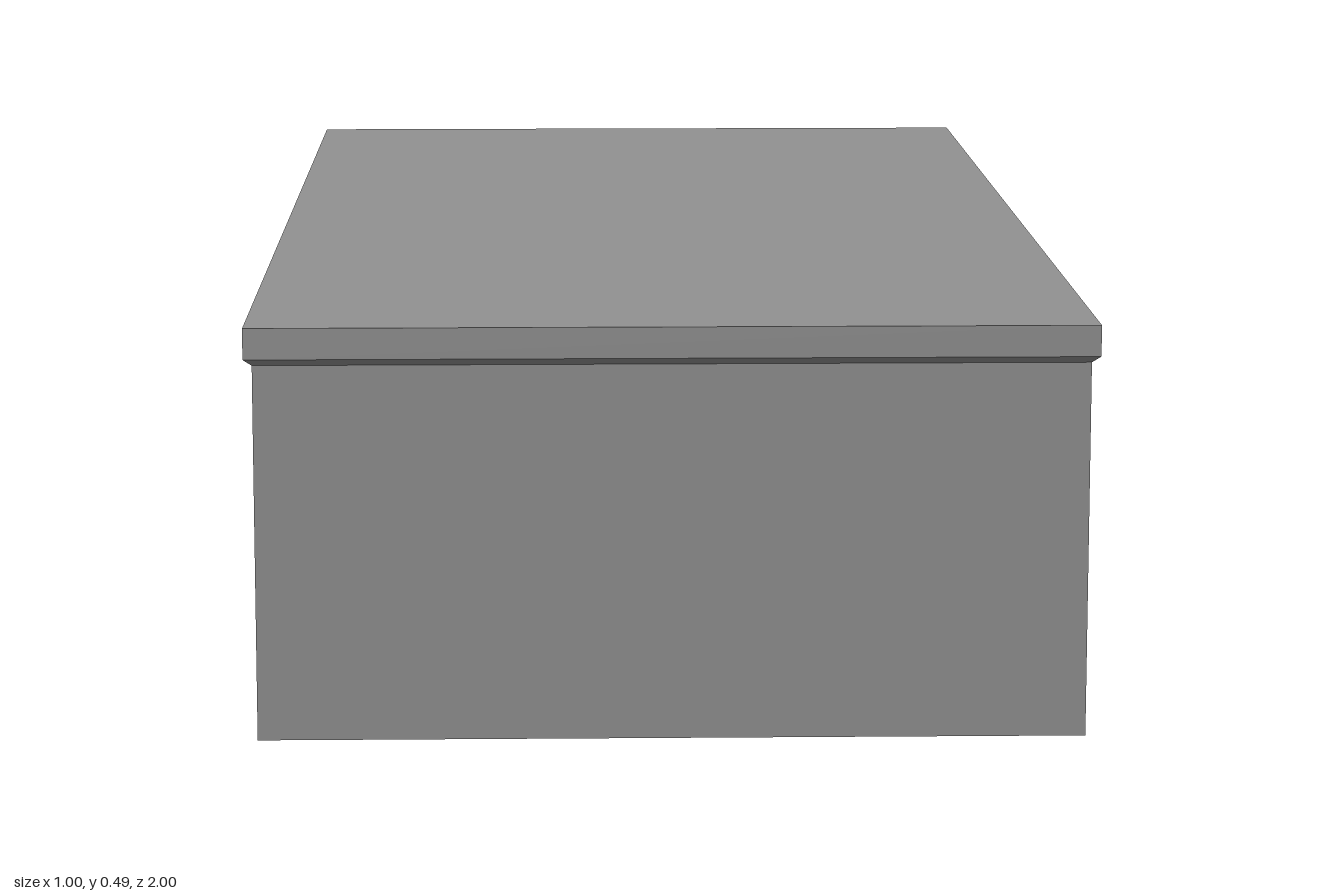
import * as THREE from 'three';

export function createModel() {
  const desk = new THREE.Group();
  desk.name = 'desk';
  const grey = new THREE.MeshStandardMaterial({ color: 0x929292 });
  const dark = new THREE.MeshStandardMaterial({ color: 0x303031 });

  // Box given by its limits on each axis
  function addBox(name, material, [x0, x1], [y0, y1], [z0, z1]) {
    const mesh = new THREE.Mesh(new THREE.BoxGeometry(x1 - x0, y1 - y0, z1 - z0), material);
    mesh.position.set((x0 + x1) / 2, (y0 + y1) / 2, (z0 + z1) / 2);
    mesh.name = name;
    desk.add(mesh);
    return mesh;
  }

  // Top board, with a chamfered strip under its edge
  addBox('topBoard', grey, [-0.5, 0.5], [0.457, 0.494], [-1, 1]);
  const chamfer = addBox('topChamfer', grey, [-0.5, 0.5], [0.449, 0.457], [-1, 1]);
  const p = chamfer.geometry.attributes.position;
  for (let i = 0; i < p.count; i++) {
    if (p.getY(i) < 0) {
      p.setX(i, Math.sign(p.getX(i)) * 0.49);
      p.setZ(i, Math.sign(p.getZ(i)) * 0.992);
    }
  }
  chamfer.geometry.computeVertexNormals();

  // End panels
  addBox('frontEndPanel', grey, [-0.49, 0.49], [0, 0.449], [0.967, 0.992]);
  addBox('backEndPanel', grey, [-0.49, 0.49], [0, 0.449], [-0.992, -0.967]);

  // Closed cabinet between the end panels: dark walls, grey underside
  const cabinetSides = [dark, dark, dark, grey, dark, dark];
  addBox('cabinetBody', cabinetSides, [-0.425, 0.26], [0, 0.449], [-0.967, 0.967]);

  // Drawer fronts standing proud of the cabinet
  for (const [name, z] of [['frontDrawer', [0.035, 0.87]], ['backDrawer', [-0.853, -0.09]]]) {
    addBox(name, dark, [0.255, 0.277], [0.271, 0.408], z);
  }

  return desk;
}
